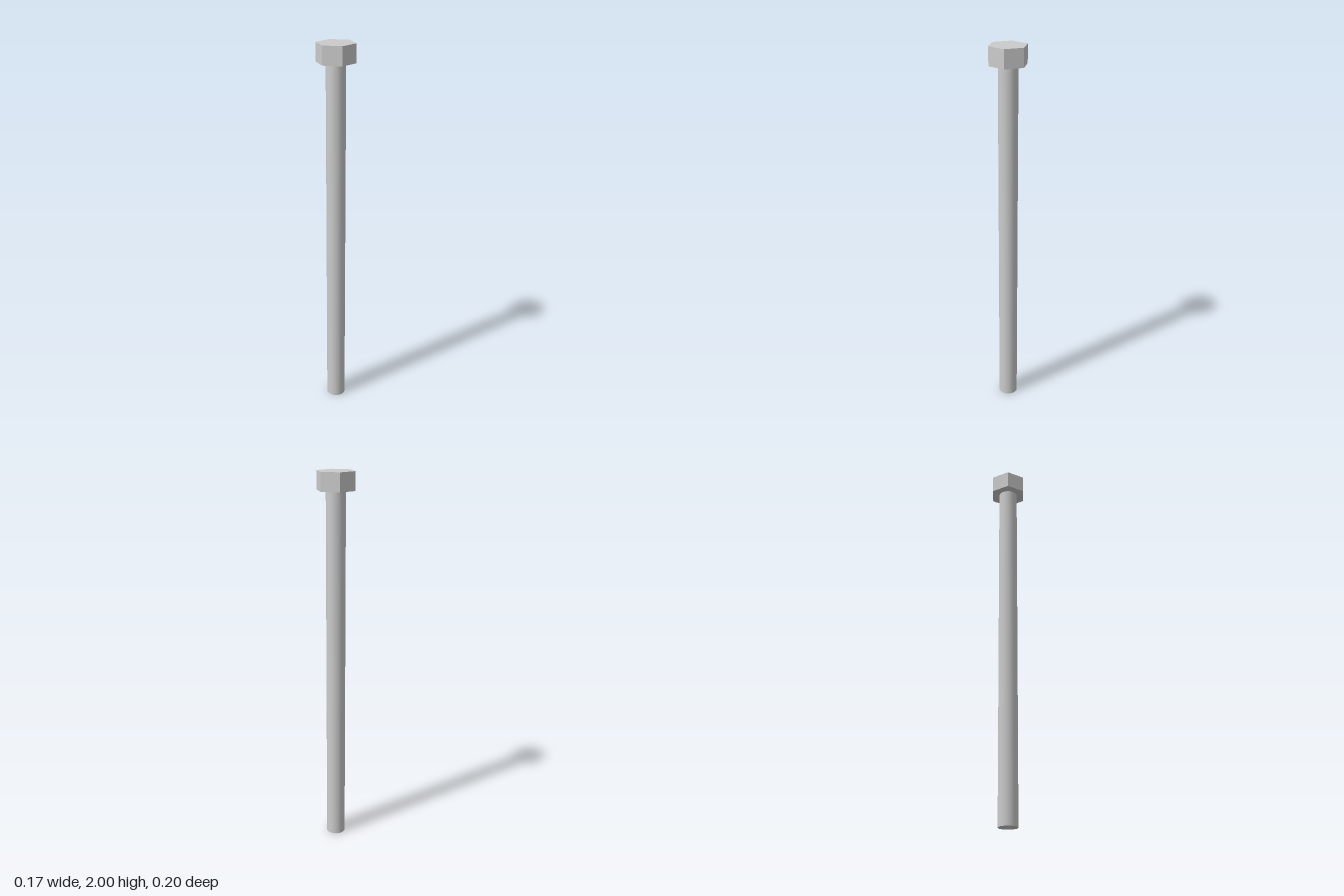
import * as THREE from 'three';

const HEIGHT = 2;
const HEAD_HEIGHT = 0.095;
const SHAFT_HEIGHT = HEIGHT - HEAD_HEIGHT;

export function createModel() {
  const bolt = new THREE.Group();
  bolt.name = 'bolt';

  // Round shank, smooth sided
  const shank = new THREE.Mesh(
    new THREE.CylinderGeometry(0.05, 0.05, SHAFT_HEIGHT, 32),
    new THREE.MeshStandardMaterial({ color: 0xcccccc })
  );
  shank.name = 'shank';
  shank.position.y = SHAFT_HEIGHT / 2;

  // Hexagonal head, corners pointing along z
  const head = new THREE.Mesh(
    new THREE.CylinderGeometry(0.1, 0.1, HEAD_HEIGHT, 6),
    new THREE.MeshStandardMaterial({ color: 0xcccccc, flatShading: true })
  );
  head.name = 'hexHead';
  head.position.y = HEIGHT - HEAD_HEIGHT / 2;

  bolt.add(shank, head);
  return bolt;
}
